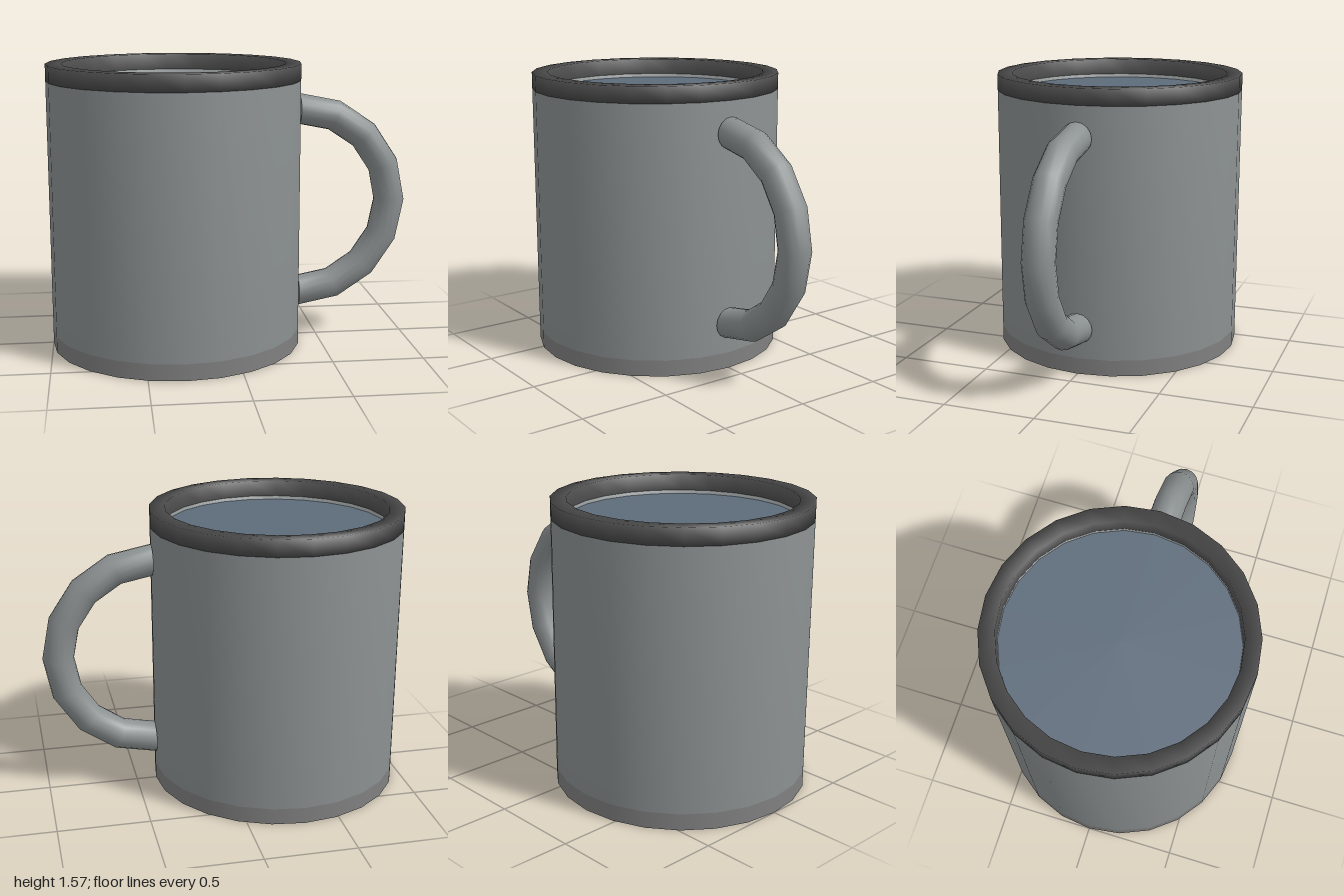
import * as THREE from 'three';

const SIDES = 24;
const RADIUS = 0.695;
const CENTER_X = -0.305;

function part(name, geometry, color, x, y) {
  const material = new THREE.MeshStandardMaterial({ color });
  const mesh = new THREE.Mesh(geometry, material);
  mesh.name = name;
  mesh.position.set(x, y, 0);
  return mesh;
}

// Turned solid whose normals blend across the profile corners
function turned(points) {
  return new THREE.LatheGeometry(points.map(([r, y]) => new THREE.Vector2(r, y)), SIDES);
}

export function createModel() {
  const mug = new THREE.Group();
  mug.name = 'mug';
  const grey = 0x8b9090;

  // Base band with a flat underside
  mug.add(part('base', new THREE.CylinderGeometry(RADIUS, RADIUS, 0.09, SIDES), 0x808080, CENTER_X, 0.045));

  // Body wall, open inside down to just below the liquid
  const body = turned([[RADIUS, 0.09], [RADIUS, 1.48], [0.61, 1.48], [0.61, 1.4]]);
  mug.add(part('body', body, grey, CENTER_X, 0));

  // Liquid surface just under the rim
  const liquid = new THREE.CircleGeometry(0.612, SIDES).rotateX(-Math.PI / 2);
  mug.add(part('liquid', liquid, 0x5d6b7a, CENTER_X, 1.46));

  // Square-section rim with softly shaded edges
  const rim = turned([[0.61, 1.48], [RADIUS, 1.48], [RADIUS, 1.57], [0.61, 1.57], [0.61, 1.48]]);
  mug.add(part('rim', rim, 0x4a4a4a, CENTER_X, 0));

  // Handle: half ring of eight segments with closed ends
  const handle = new THREE.Group();
  handle.name = 'handle';
  const ringRadius = 0.523, tube = 0.086;
  const arc = new THREE.TorusGeometry(ringRadius, tube, 16, 8, Math.PI).rotateZ(-Math.PI / 2);
  handle.add(part('handleArc', arc, grey, 0.39, 0.785));
  for (const side of [-1, 1]) {
    const cap = new THREE.CircleGeometry(tube, 16).rotateY(-Math.PI / 2);
    handle.add(part('handleEnd', cap, grey, 0.39, 0.785 + side * ringRadius));
  }
  mug.add(handle);

  return mug;
}
